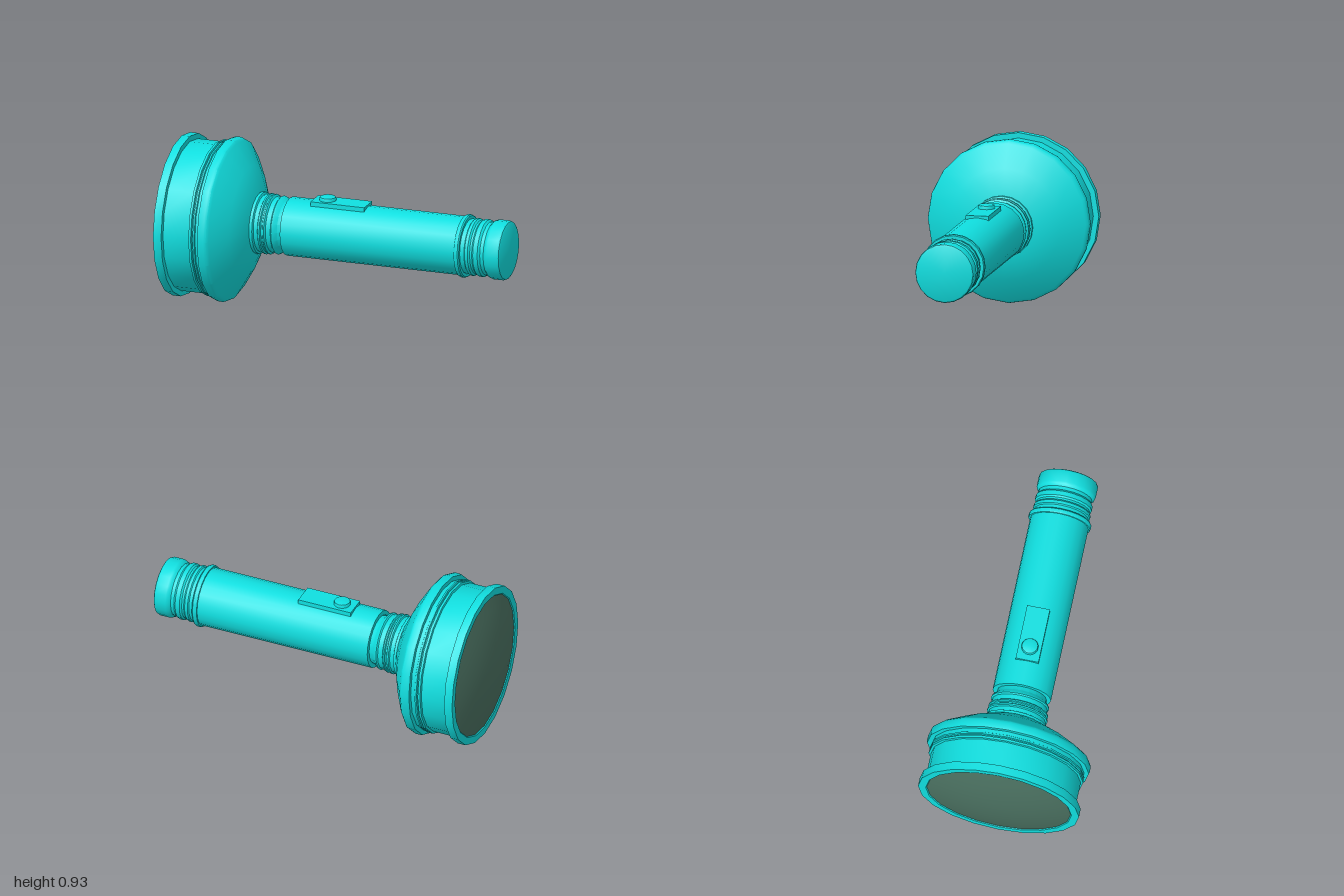
import * as THREE from 'three';
import { toCreasedNormals } from 'three/addons/utils/BufferGeometryUtils.js';

const AXIS_Y = 0.463;
const SIDES = 20;

export function createModel() {
  const group = new THREE.Group();
  const teal = new THREE.MeshStandardMaterial({ color: 0x10dfe0 });
  const glass = new THREE.MeshStandardMaterial({ color: 0x4a7060 });

  function add(name, geometry, material = teal) {
    const mesh = new THREE.Mesh(toCreasedNormals(geometry, 0.6), material);
    mesh.name = name;
    group.add(mesh);
    return mesh;
  }

  // Turned part along x: profile is a list of [x, radius], from head to tail
  function turned(name, profile, material) {
    const points = profile.map(([x, r]) => new THREE.Vector2(r, x));
    const geometry = new THREE.LatheGeometry(points, SIDES);
    geometry.rotateZ(-Math.PI / 2);
    geometry.translate(0, AXIS_Y, 0);
    return add(name, geometry, material);
  }

  // Shallow domed lens
  const dome = [];
  for (let i = 0; i <= 6; i++) {
    const r = 0.41 * i / 6;
    dome.push([-1 + 0.055 * (r / 0.41) ** 2, r]);
  }
  turned('lens', dome, glass);

  // Head: front rim, barrel, twin ridges, flange and flared cone
  turned('frontRim', [
    [-0.935, 0.4], [-0.95, 0.415], [-0.95, 0.458], [-0.902, 0.458], [-0.902, 0.42],
  ]);
  turned('headBarrel', [
    [-0.91, 0.427], [-0.75, 0.427], [-0.747, 0.44], [-0.733, 0.44],
    [-0.73, 0.431], [-0.726, 0.431], [-0.723, 0.44], [-0.713, 0.44],
    [-0.71, 0.433], [-0.68, 0.433],
  ]);
  turned('headCone', [
    [-0.688, 0.425], [-0.688, 0.46], [-0.675, 0.463], [-0.65, 0.463],
    [-0.637, 0.459], [-0.625, 0.445], [-0.55, 0.318], [-0.485, 0.18], [-0.485, 0.15],
  ]);

  // Ribbed neck
  turned('neck', [
    [-0.49, 0.175], [-0.468, 0.175], [-0.463, 0.163], [-0.44, 0.163],
    [-0.435, 0.172], [-0.425, 0.172], [-0.42, 0.163], [-0.412, 0.163],
    [-0.408, 0.17], [-0.4, 0.17], [-0.393, 0.158], [-0.365, 0.158],
    [-0.358, 0.166], [-0.348, 0.163], [-0.33, 0.145], [-0.3, 0.138],
  ]);

  // Handle tube
  turned('handle', [[-0.305, 0.13], [-0.305, 0.166], [0.74, 0.166]]);

  // Tail: collar, ribs and rounded end cap
  turned('tailCollar', [
    [0.732, 0.16], [0.732, 0.175], [0.737, 0.178], [0.755, 0.178], [0.762, 0.173], [0.762, 0.15],
  ]);
  turned('tailCap', [
    [0.755, 0.155], [0.787, 0.155], [0.793, 0.162], [0.81, 0.162], [0.82, 0.153],
    [0.832, 0.153], [0.842, 0.162], [0.868, 0.162], [0.88, 0.152], [0.9, 0.152],
    [0.912, 0.164], [0.925, 0.168], [0.985, 0.168], [0.995, 0.164], [1, 0.155], [1, 0],
  ]);

  // Switch plate with its button
  const plate = add('switchPlate', new THREE.BoxGeometry(0.32, 0.05, 0.13));
  plate.position.set(0, 0.615, 0);

  const buttonProfile = [
    [0.047, 0], [0.047, 0.044], [0.044, 0.051], [0.037, 0.054], [0, 0.054],
  ].map(([r, y]) => new THREE.Vector2(r, y));
  const button = add('switchButton', new THREE.LatheGeometry(buttonProfile, SIDES));
  button.position.set(-0.08, 0.608, 0);

  return group;
}
